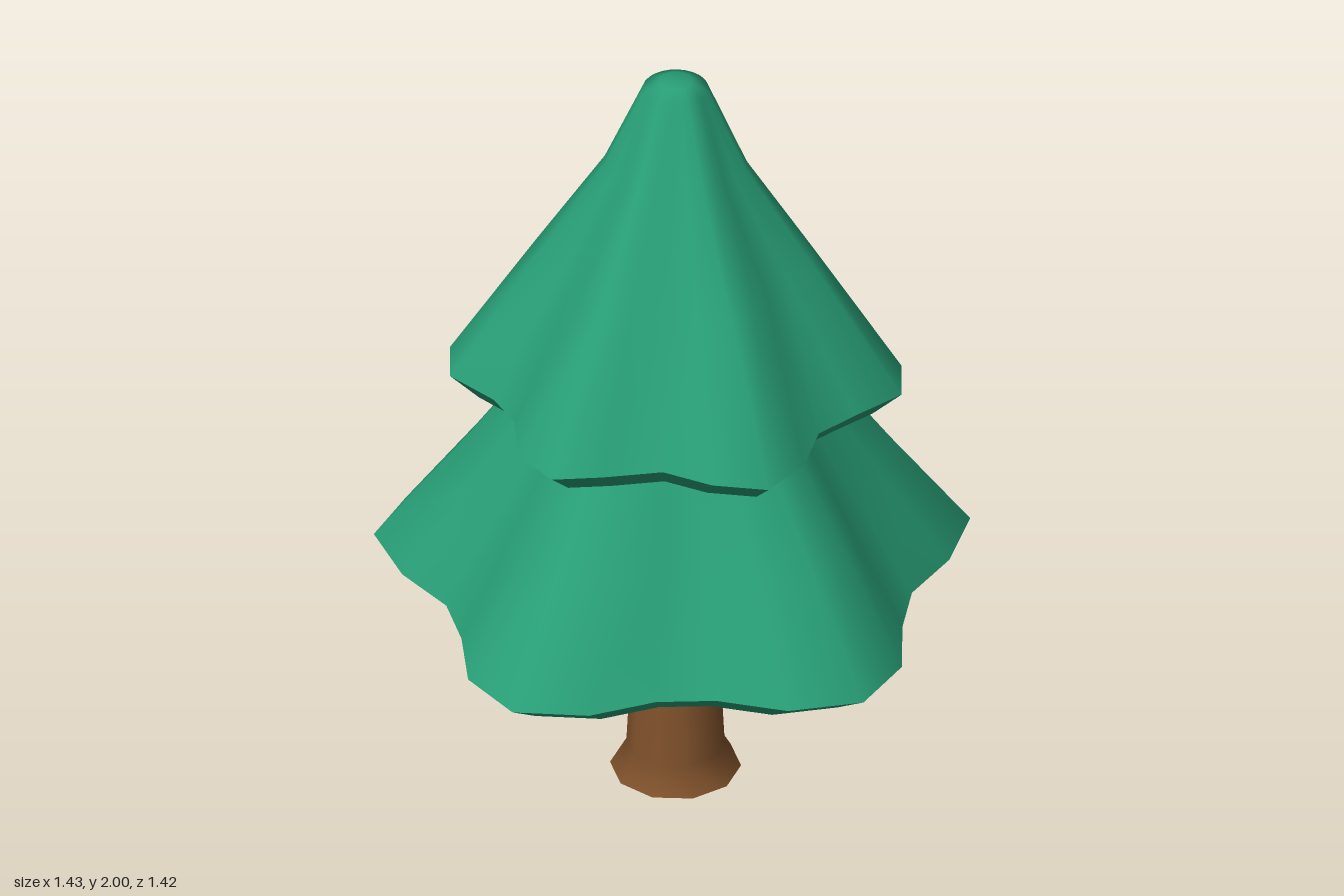
import * as THREE from 'three';

const CENTER = [-0.015, -0.037];

// Wavy skirt edges as [x, z], running clockwise seen from above
const UPPER_EDGE = [
  [-0.08, -0.6], [0.05, -0.57], [0.14, -0.46], [0.24, -0.42], [0.4, -0.4], [0.48, -0.3], [0.45, -0.16],
  [0.43, -0.04], [0.49, 0.09], [0.49, 0.23], [0.37, 0.3], [0.24, 0.33], [0.14, 0.44], [0.05, 0.525],
  [-0.08, 0.495], [-0.18, 0.385], [-0.28, 0.34], [-0.43, 0.325], [-0.51, 0.225], [-0.485, 0.09],
  [-0.46, -0.04], [-0.52, -0.16], [-0.52, -0.305], [-0.4, -0.375], [-0.265, -0.4], [-0.2, -0.49],
];
const LOWER_EDGE = [
  [-0.08, -0.615], [0.08, -0.665], [0.24, -0.715], [0.41, -0.655], [0.485, -0.48], [0.505, -0.31],
  [0.58, -0.18], [0.69, -0.04], [0.715, 0.14], [0.595, 0.285], [0.43, 0.36], [0.32, 0.455], [0.23, 0.605],
  [0.075, 0.71], [-0.1, 0.665], [-0.225, 0.535], [-0.345, 0.445], [-0.515, 0.405], [-0.68, 0.31],
  [-0.72, 0.135], [-0.65, -0.02], [-0.58, -0.18], [-0.585, -0.34], [-0.57, -0.53], [-0.435, -0.645],
  [-0.245, -0.64],
];

// Each ring is [y, round radius, blend]: blend 0 is a circle, 1 the full wavy edge
function loft(edge, rings) {
  const n = edge.length, position = [], index = [];
  for (const [y, radius, blend] of rings) {
    for (const [x, z] of edge) {
      const dx = x - CENTER[0], dz = z - CENTER[1], d = Math.hypot(dx, dz);
      const r = radius + (d - radius) * blend;
      position.push(CENTER[0] + dx / d * r, y, CENTER[1] + dz / d * r);
    }
  }
  for (let k = 0; k < rings.length - 1; k++) {
    for (let i = 0; i < n; i++) {
      const j = (i + 1) % n, up = k * n, low = up + n;
      index.push(low + i, up + i, low + j, low + j, up + i, up + j);
    }
  }
  const geometry = new THREE.BufferGeometry();
  geometry.setAttribute('position', new THREE.Float32BufferAttribute(position, 3));
  geometry.setIndex(index);
  geometry.computeVertexNormals();
  return geometry;
}

// One foliage tier: smooth skin, bevelled rim and hollow underside
function makeTier(name, edge, skin, rimY, bottomY, inset, material) {
  const tier = new THREE.Group();
  tier.name = name;
  const add = (part, rings) => {
    const mesh = new THREE.Mesh(loft(edge, rings), material);
    mesh.name = name + part;
    tier.add(mesh);
  };
  add('Skin', [...skin, [rimY, 0, 1]]);
  add('Rim', [[rimY, 0, 1], [bottomY, 0, inset]]);
  add('Underside', [
    [bottomY, 0, inset], [bottomY + 0.025, 0, 0.72], [bottomY + 0.085, 0, 0.5],
    [bottomY + 0.115, 0, 0.25], [bottomY + 0.12, 0, 0],
  ]);
  return tier;
}

export function createModel() {
  const tree = new THREE.Group();
  tree.name = 'pineTree';
  const green = new THREE.MeshStandardMaterial({ color: 0x289f77 });
  green.name = 'needleGreen';
  const brown = new THREE.MeshStandardMaterial({ color: 0x7f512b });
  brown.name = 'barkBrown';

  // Trunk with flared foot
  const trunk = new THREE.Group();
  trunk.name = 'trunk';
  trunk.position.set(CENTER[0], 0, CENTER[1]);
  const profile = [[0.16, 0], [0.12, 0.07], [0.09, 0.66]].map(([r, y]) => new THREE.Vector2(r, y));
  const stem = new THREE.Mesh(new THREE.LatheGeometry(profile, 10, Math.PI / 2), brown);
  stem.name = 'trunkStem';
  const base = new THREE.Mesh(new THREE.CircleGeometry(0.16, 10).rotateX(Math.PI / 2), brown);
  base.name = 'trunkBase';
  trunk.add(stem, base);
  tree.add(trunk);

  // Foliage tiers
  tree.add(makeTier('lowerTier', LOWER_EDGE,
    [[1.47, 0, 0], [1.45, 0.12, 0.03], [1.085, 0.12, 0.42], [0.85, 0.12, 0.68]],
    0.575, 0.505, 0.86, green));
  tree.add(makeTier('upperTier', UPPER_EDGE,
    [[2, 0, 0], [2, 0.04, 0], [1.98, 0.08, 0], [1.76, 0.085, 0.19], [1.5, 0.085, 0.54]],
    1.15, 1.085, 0.87, green));
  return tree;
}
